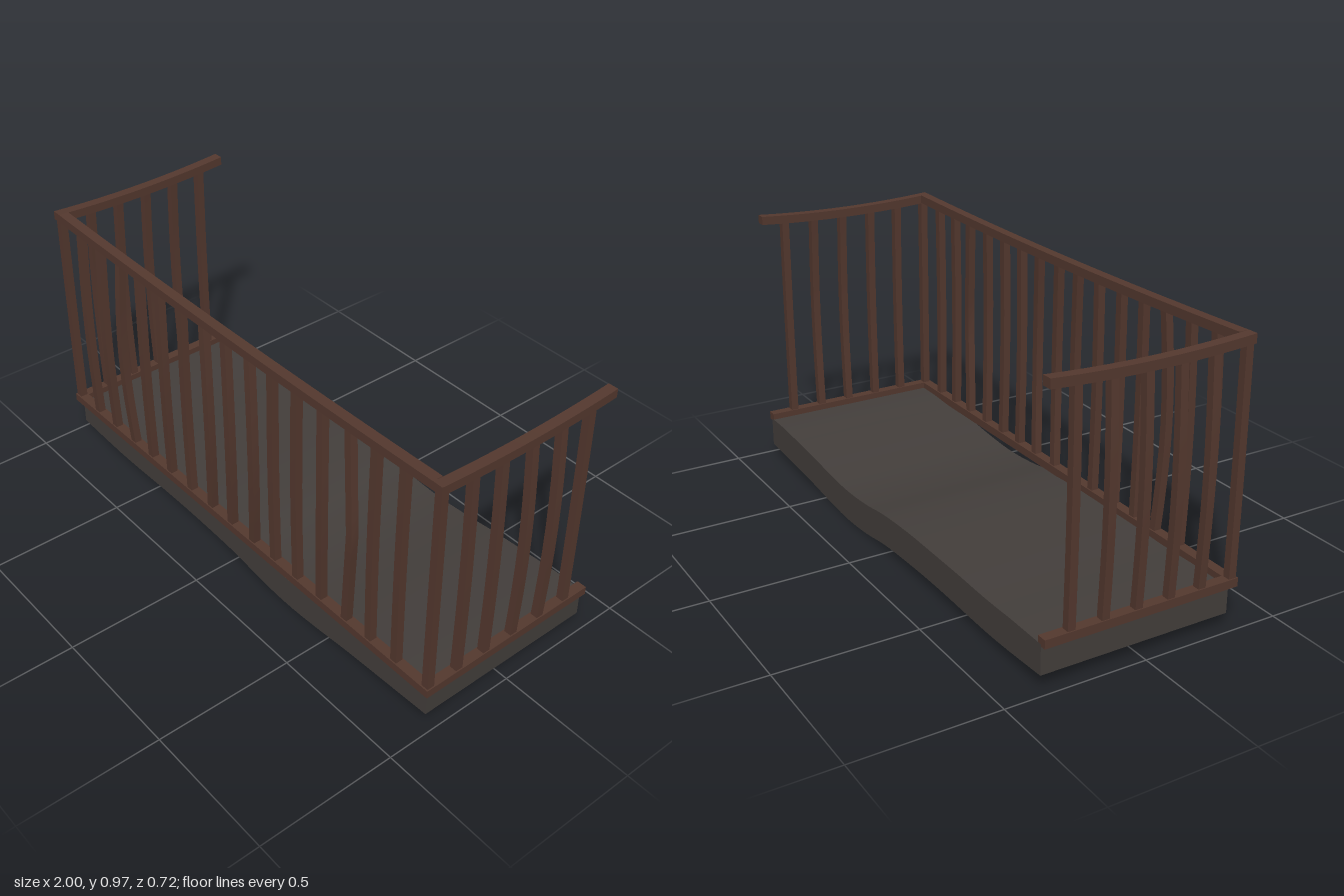
import * as THREE from 'three';
import { toCreasedNormals } from 'three/addons/utils/BufferGeometryUtils.js';

const wood = new THREE.MeshStandardMaterial({ color: 0x55392f });
const stone = new THREE.MeshStandardMaterial({ color: 0x443f3c });

const OUT_X = 0.99, FRONT = 0.35, BACK = -0.36, RAIL = 0.036;
const sagX = x => -0.015 * (1 - (x / OUT_X) ** 2);
const sagZ = z => -0.014 * (1 - (z / 0.36) ** 2);

// Move every vertex by a rule, then restore clean normals
function bend(geo, rule) {
  const p = geo.attributes.position, v = new THREE.Vector3();
  for (let i = 0; i < p.count; i++) {
    rule(v.fromBufferAttribute(p, i));
    p.setXYZ(i, v.x, v.y, v.z);
  }
  return toCreasedNormals(geo, 0.6);
}

function add(group, name, geo, material) {
  const mesh = new THREE.Mesh(geo, material);
  mesh.name = name;
  group.add(mesh);
}

// Upright bar, pushed sideways (dx, dz) at mid height; sharp bars kink, others bow
function baluster(x, z, dx, dz, top, sharp) {
  const y0 = 0.17, h = top - y0;
  const geo = new THREE.BoxGeometry(0.027, h, 0.027, 1, 8, 1);
  return bend(geo, v => {
    const t = v.y / h + 0.5;
    const k = sharp ? 1 - Math.abs(2 * t - 1) : Math.sin(Math.PI * t);
    v.set(v.x + x + dx * k, y0 + t * h, v.z + z + dz * k);
  });
}

// Thick floor with a wavy sag, as a profile extruded from back to front
function floorSlab() {
  const pts = [[-0.97, 0.05], [-0.7, 0.037], [-0.4, 0.042], [-0.2, 0.04], [0, 0.03], [0.15, 0.01],
    [0.3, 0.002], [0.45, 0.01], [0.6, 0.024], [0.8, 0.036], [0.97, 0.046]]
    .map(([x, y]) => new THREE.Vector2(x, y));
  const low = new THREE.SplineCurve(pts).getPoints(44);
  const high = low.map(p => new THREE.Vector2(p.x, Math.min(p.y + 0.115, 0.155))).reverse();
  const geo = new THREE.ExtrudeGeometry(new THREE.Shape([...low, ...high]),
    { depth: 0.69, bevelEnabled: false });
  geo.translate(0, 0, BACK);
  return toCreasedNormals(geo, 0.6);
}

export function createModel() {
  const model = new THREE.Group();
  model.name = 'balcony';
  add(model, 'floorSlab', floorSlab(), stone);

  // Front rails: straight below, sagging above
  const railZ = FRONT - RAIL / 2, railX = OUT_X - RAIL / 2;
  const frontLength = 2 * (OUT_X - RAIL);
  add(model, 'frontBottomRail',
    new THREE.BoxGeometry(frontLength, 0.03, RAIL).translate(0, 0.163, railZ), wood);
  add(model, 'frontTopRail', bend(new THREE.BoxGeometry(frontLength, 0.031, RAIL, 24, 1, 1),
    v => { v.y += 0.959 + sagX(v.x); v.z += railZ; }), wood);

  // Side rails
  const depth = FRONT - BACK, midZ = (FRONT + BACK) / 2;
  for (const [side, s] of [['left', 1], ['right', -1]]) {
    add(model, side + 'BottomRail',
      new THREE.BoxGeometry(RAIL, 0.03, depth).translate(s * railX, 0.163, midZ), wood);
    add(model, side + 'TopRail', bend(new THREE.BoxGeometry(RAIL, 0.031, depth, 1, 1, 16),
      v => { v.x += s * railX; v.z += midZ; v.y += 0.959 + sagZ(v.z); }), wood);

    // Corner post and side balusters, some bowing outward
    [0.331, 0.212, 0.095, -0.025, -0.145, -0.265].forEach((z, i) => {
      const bow = s > 0 ? [0, 0.005, 0.006, 0.014, 0.014, 0.002] : [0.002, 0.013, 0.014, 0.014, 0.012, 0.004];
      add(model, i ? side + 'Baluster' : side + 'CornerPost',
        baluster(s * railX, z, s * bow[i], 0, 0.955 + sagZ(z), false), wood);
    });
  }

  // Front balusters: x, sideways bow, forward bow
  const bars = [[-0.84, 0, 0.01], [-0.72, 0.003, 0.012], [-0.595, -0.012, 0.015], [-0.483, 0.005, 0.008],
    [-0.365, 0.012, 0.012], [-0.24, 0, 0.004], [-0.118, 0.024, 0.014], [-0.003, 0.02, 0.012],
    [0.12, 0.025, 0.015], [0.235, 0, 0.004], [0.352, 0, 0.005], [0.473, 0.013, 0.012],
    [0.597, 0.033, 0.014], [0.712, 0, 0.004], [0.832, 0, 0.003]];
  for (const [x, dx, dz] of bars)
    add(model, 'frontBaluster', baluster(x, railZ, dx, dz, 0.955 + sagX(x), dx > 0.03), wood);

  return model;
}
